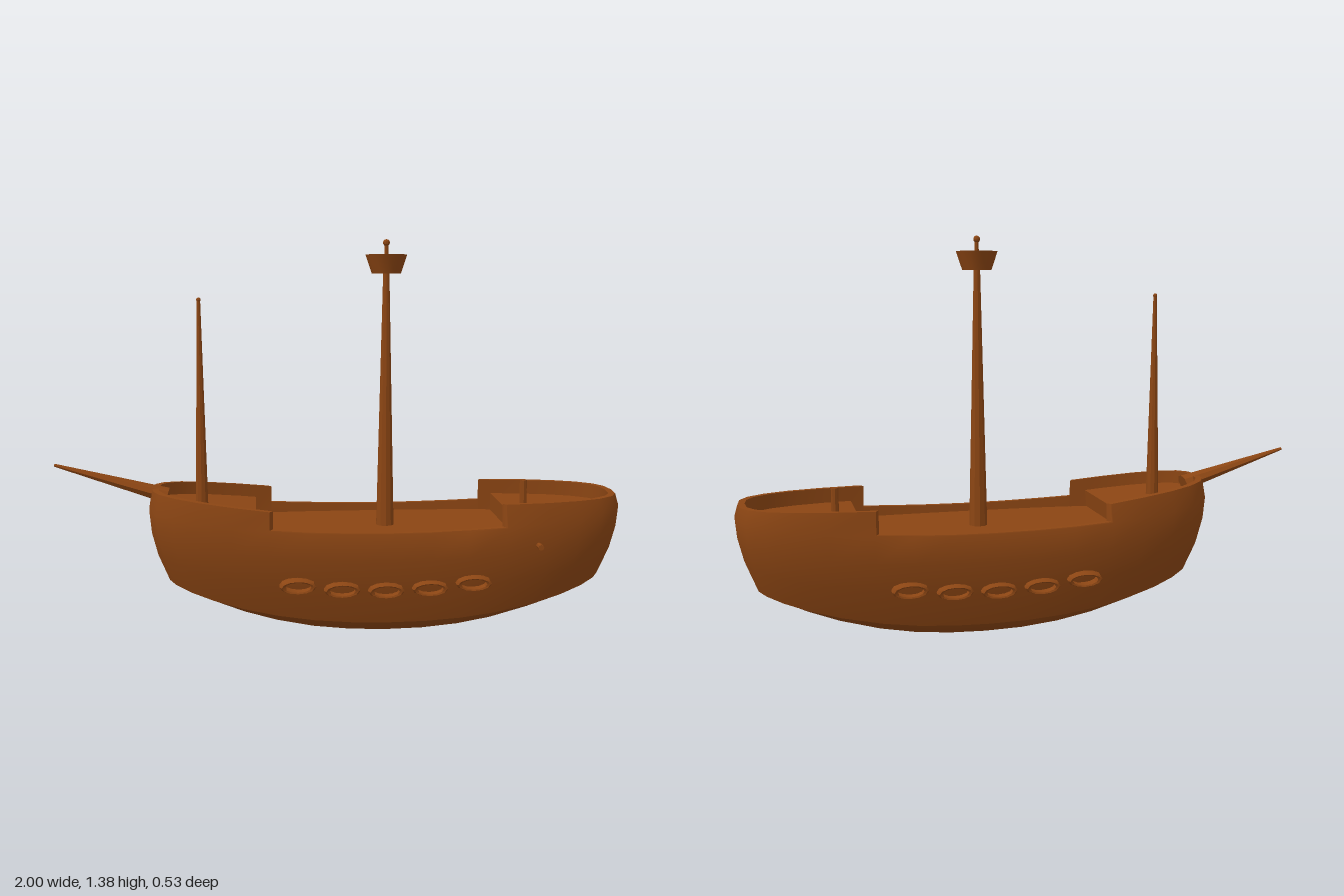
import * as THREE from 'three';
import { toCreasedNormals } from 'three/addons/utils/BufferGeometryUtils.js';

const CX = 0.16; // middle of the hull along x
const wood = new THREE.MeshStandardMaterial({ color: 0x8b4513, side: THREE.DoubleSide });

// half-width factor of the plan outline at u in -1..1
const plan = (u) => Math.pow(Math.max(0, 1 - Math.pow(Math.abs(u), 2.9)), 1 / 2.9);

function add(group, name, geometry, x = 0, y = 0, z = 0) {
  const mesh = new THREE.Mesh(toCreasedNormals(geometry, 0.6), wood);
  mesh.name = name;
  mesh.position.set(x, y, z);
  group.add(mesh);
  return mesh;
}

// Hull lofted from full cross-sections, with raised bulwarks at bow and stern
function hullGeometry() {
  const bow = [-1, -0.992, -0.96, -0.89, -0.79, -0.65, -0.503].map((u) => [u, 'bow']);
  const waist = [-0.503, -0.34, -0.17, 0, 0.16, 0.32, 0.473].map((u) => [u, 'waist']);
  const stern = [0.473, 0.65, 0.79, 0.89, 0.96, 0.992, 1].map((u) => [u, 'stern']);
  const stations = [...bow, ...waist, ...stern];

  const section = ([u, zone]) => {
    const lift = Math.pow(Math.abs(u), 2.2);
    const keel = 0.008 + 0.202 * lift;
    const chine = 0.08 + 0.13 * lift;
    const rail = 0.408 + 0.05 * u * u;
    const top = { bow: 0.485 + 0.09 * (-0.503 - u), waist: rail + 0.004, stern: 0.5 }[zone];
    const raised = zone !== 'waist';
    const point = (a, w, y) => [CX + a * u, y, w * plan(u)];
    const mix = (f) => chine + (rail - chine) * f;
    const half = [
      point(0.8, 0.238, 0.36),
      point(0.8, raised ? 0.232 : 0.24, top),
      point(0.823, raised ? 0.25 : 0.259, top),
      point(0.835, 0.261, rail),
      point(0.828, 0.255, mix(0.7)),
      point(0.808, 0.235, mix(0.38)),
      point(0.77, 0.19, chine),
      point(0.77, 0.103, keel + (chine - keel) * 0.28),
      point(0.77, 0, keel),
    ];
    const mirrored = half.slice(0, -1).reverse().map(([x, y, z]) => [x, y, -z]);
    return [...half, ...mirrored];
  };

  const rows = stations.map(section);
  const n = rows[0].length;
  const index = [];
  for (let i = 0; i < rows.length - 1; i++) {
    for (let p = 0; p < n - 1; p++) {
      const a = i * n + p, b = a + 1, c = a + n, d = c + 1;
      index.push(a, b, c, b, d, c);
    }
  }
  const g = new THREE.BufferGeometry();
  g.setAttribute('position', new THREE.Float32BufferAttribute(rows.flat(2), 3));
  g.setIndex(index);
  return g;
}

// Deck slab filling the inner outline between two x positions, top face at y = 0
function deckGeometry(x0, x1, depth) {
  const steps = 24, side = [];
  for (let i = 0; i <= steps; i++) {
    const t = (1 - Math.cos((Math.PI * i) / steps)) / 2;
    const x = x0 + (x1 - x0) * t;
    side.push(new THREE.Vector2(x, 0.24 * plan((x - CX) / 0.802)));
  }
  const other = side.map((p) => new THREE.Vector2(p.x, -p.y)).reverse();
  const outline = [...side, ...other].filter((p, i, all) => i === 0 || p.distanceTo(all[i - 1]) > 1e-5);
  const g = new THREE.ExtrudeGeometry(new THREE.Shape(outline), { depth, bevelEnabled: false });
  g.rotateX(-Math.PI / 2);
  g.translate(0, -depth, 0);
  return g;
}

// Tapered pole standing on y0
function pole(group, name, x, y0, y1, r0, r1, sides = 10) {
  return add(group, name, new THREE.CylinderGeometry(r1, r0, y1 - y0, sides), x, (y0 + y1) / 2, 0);
}

const lathe = (points, sides) =>
  new THREE.LatheGeometry(points.map(([r, y]) => new THREE.Vector2(r, y)), sides);

export function createModel() {
  const ship = new THREE.Group();
  ship.name = 'sailingShip';

  add(ship, 'hull', hullGeometry());

  // Decks
  const ends = [CX - 0.802, CX + 0.802];
  add(ship, 'mainDeck', deckGeometry(ends[0], ends[1], 0.02), 0, 0.385, 0);
  add(ship, 'aftDeck', deckGeometry(0.585, ends[1], 0.08), 0, 0.448, 0);
  const foreGeometry = deckGeometry(ends[0], -0.3, 0.08);
  foreGeometry.translate(0.3, 0, 0);
  add(ship, 'foreDeck', foreGeometry, -0.3, 0.447, 0).rotation.z = -0.11;

  // Main mast with lookout basket
  pole(ship, 'mainMast', 0.16, 0.38, 1.285, 0.032, 0.011);
  pole(ship, 'mainMastTip', 0.16, 1.28, 1.38, 0.007, 0.007, 8);
  add(ship, 'mainMastBall', new THREE.SphereGeometry(0.012, 10, 8), 0.16, 1.38, 0);
  const basket = [[0, 0], [0.051, 0], [0.073, 0.065], [0.066, 0.065], [0.046, 0.012], [0, 0.012]];
  add(ship, 'lookoutBasket', lathe(basket, 12), 0.16, 1.275, 0);

  // Fore mast
  pole(ship, 'foreMast', -0.49, 0.455, 1.185, 0.023, 0.006);
  add(ship, 'foreMastBall', new THREE.SphereGeometry(0.008, 8, 6), -0.49, 1.185, 0);

  // Bowsprit, flattened and pointing up and forward
  const from = new THREE.Vector3(-0.61, 0.5, 0), to = new THREE.Vector3(-1, 0.613, 0);
  const spritGeometry = new THREE.CylinderGeometry(0.008, 0.044, from.distanceTo(to), 8);
  spritGeometry.scale(0.65, 1, 1);
  const sprit = add(ship, 'bowsprit', spritGeometry);
  sprit.position.copy(from).lerp(to, 0.5);
  sprit.quaternion.setFromUnitVectors(new THREE.Vector3(0, 1, 0), to.clone().sub(from).normalize());

  // Oval porthole rims along both sides
  const rim = [[0.045, -0.015], [0.062, -0.015], [0.062, 0.008], [0.055, 0.015], [0.045, 0.012], [0.045, -0.015]];
  for (const side of [1, -1]) {
    for (let i = -2; i <= 2; i++) {
      const g = lathe(rim, 12);
      g.rotateX((side * Math.PI) / 2);
      g.scale(1, 0.42, 1);
      const port = add(ship, 'portholeRim', g, 0.14 + 0.15 * i, 0.21 + 0.005 * i * i, side * 0.242);
      port.rotation.x = side * 0.22;
    }
  }

  // Steering post on the aft deck and a small peg on the side
  pole(ship, 'steeringPost', 0.66, 0.44, 0.54, 0.013, 0.013, 8);
  const peg = new THREE.CylinderGeometry(0.01, 0.01, 0.05, 8);
  peg.rotateX(Math.PI / 2);
  add(ship, 'sidePeg', peg, 0.665, 0.355, 0.242);

  return ship;
}
